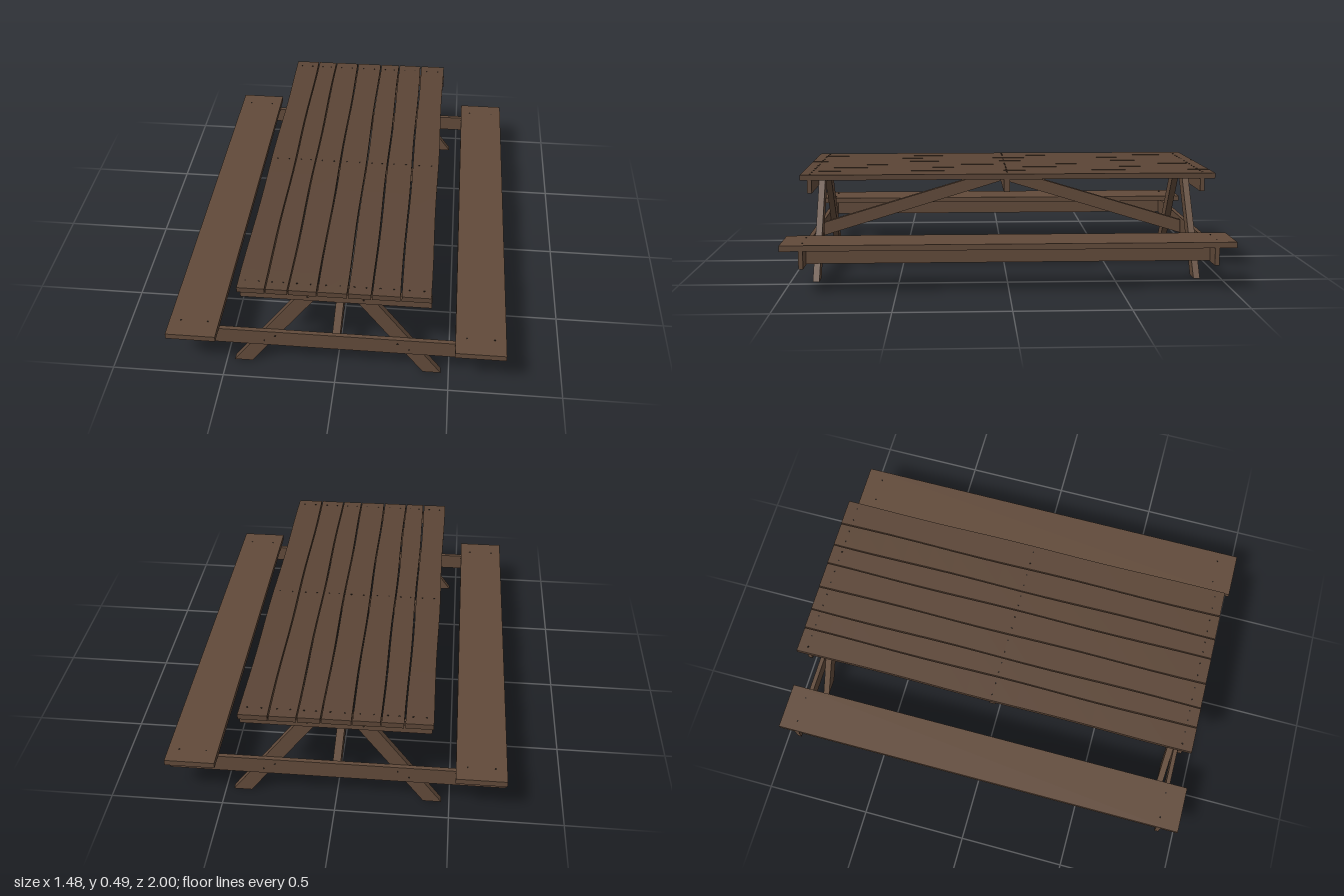
import * as THREE from 'three';

export function createModel() {
  const table = new THREE.Group();
  table.name = 'picnicTable';

  const wood = new THREE.MeshStandardMaterial({ color: 0x614a3a });
  wood.name = 'brown wood';
  const plankWood = new THREE.MeshStandardMaterial({ color: 0x5b4536 });
  plankWood.name = 'weathered plank wood';
  const iron = new THREE.MeshStandardMaterial({ color: 0x2b221c });
  iron.name = 'dark nail iron';

  function add(name, geometry, material = wood) {
    const mesh = new THREE.Mesh(geometry, material);
    mesh.name = name;
    table.add(mesh);
    return mesh;
  }

  // Box given by its limits on each axis
  function board(name, [x0, x1], [y0, y1], [z0, z1]) {
    const mesh = add(name, new THREE.BoxGeometry(x1 - x0, y1 - y0, z1 - z0));
    mesh.position.set((x0 + x1) / 2, (y0 + y1) / 2, (z0 + z1) / 2);
    return mesh;
  }

  // Flat outline extruded into a beam
  function beam(name, points, depth) {
    const shape = new THREE.Shape(points.map(([x, y]) => new THREE.Vector2(x, y)));
    return add(name, new THREE.ExtrudeGeometry(shape, { depth, bevelEnabled: false }));
  }

  function nail(name, x, y, z, alongZ) {
    const mesh = add(name, new THREE.CylinderGeometry(0.004, 0.004, 0.004, 8), iron);
    mesh.position.set(x, y, z);
    if (alongZ) mesh.rotation.x = Math.PI / 2;
  }

  // Tabletop planks with slightly wavy long edges and uneven ends
  const planks = [
    [-0.414, -0.299], [-0.294, -0.199], [-0.194, -0.076], [-0.071, 0.051],
    [0.056, 0.156], [0.161, 0.276], [0.281, 0.405],
  ];
  planks.forEach(([x0, x1], i) => {
    const z0 = -0.967 - 0.001 * i, z1 = 0.958 - 0.001 * i;
    const geometry = new THREE.BoxGeometry(x1 - x0, 0.025, z1 - z0, 1, 1, 16);
    const p = geometry.attributes.position;
    for (let k = 0; k < p.count; k++) {
      const wave = Math.sin(p.getZ(k) * 7 + i * 2.3 + Math.sign(p.getX(k)));
      p.setX(k, p.getX(k) + 0.002 * wave);
    }
    geometry.computeVertexNormals();
    add('tabletopPlank', geometry, plankWood).position.set((x0 + x1) / 2, 0.4775, (z0 + z1) / 2);

    // Two nails into each support
    for (const z of [-0.92, -0.005, 0.908]) {
      for (const t of [0.25, 0.75]) nail('plankNail', x0 + (x1 - x0) * t, 0.4895, z, false);
    }
  });

  // Middle cleat under the tabletop
  board('middleCleat', [-0.405, 0.405], [0.405, 0.465], [-0.015, 0.013]);

  for (const end of [1, -1]) {
    const span = (a, b) => (end > 0 ? [a, b] : [-b - 0.005, -a - 0.005]);

    // Cleat and long crossbeam at each end
    const outer = span(0.898, 0.918);
    board('endCleat', [-0.41, 0.41], [0.405, 0.465], outer);
    board('crossbeam', [-0.74, 0.74], [0.125, 0.204], outer);

    // Splayed legs, cut level at the feet
    for (const side of [1, -1]) {
      const leg = beam('leg', [
        [0.385 * side, 0], [0.465 * side, 0], [0.125 * side, 0.462], [0.042 * side, 0.462],
      ], 0.03);
      leg.position.z = span(0.868, 0.898)[0];

      // Bolts joining legs, crossbeam and cleat
      const face = end > 0 ? outer[1] : outer[0];
      for (const [x, y] of [[0.27, 0.18], [0.32, 0.15], [0.09, 0.44], [0.12, 0.425], [0.6, 0.18], [0.66, 0.15]]) {
        nail('bolt', x * side, y, face, true);
      }
    }

    // Diagonal brace from crossbeam up to the middle cleat
    const brace = beam('diagonalBrace', [
      [0, 0.405], [0.898 * end, 0.13], [0.898 * end, 0.195], [0, 0.465],
    ], 0.035);
    brace.rotation.y = -Math.PI / 2;
    brace.position.x = 0.016;
  }

  // Benches, each stiffened by a long beam
  for (const side of [1, -1]) {
    const span = (a, b) => (side > 0 ? [a, b] : [-b, -a]);
    board('benchSeat', span(0.52, 0.74), [0.204, 0.23], [-1, 1]);
    board('benchBeam', span(0.61, 0.645), [0.128, 0.204], [-0.903, 0.898]);
    for (const z of [-0.92, 0.905]) {
      for (const x of [0.57, 0.69]) nail('benchNail', x * side, 0.2295, z, false);
    }
  }

  return table;
}
